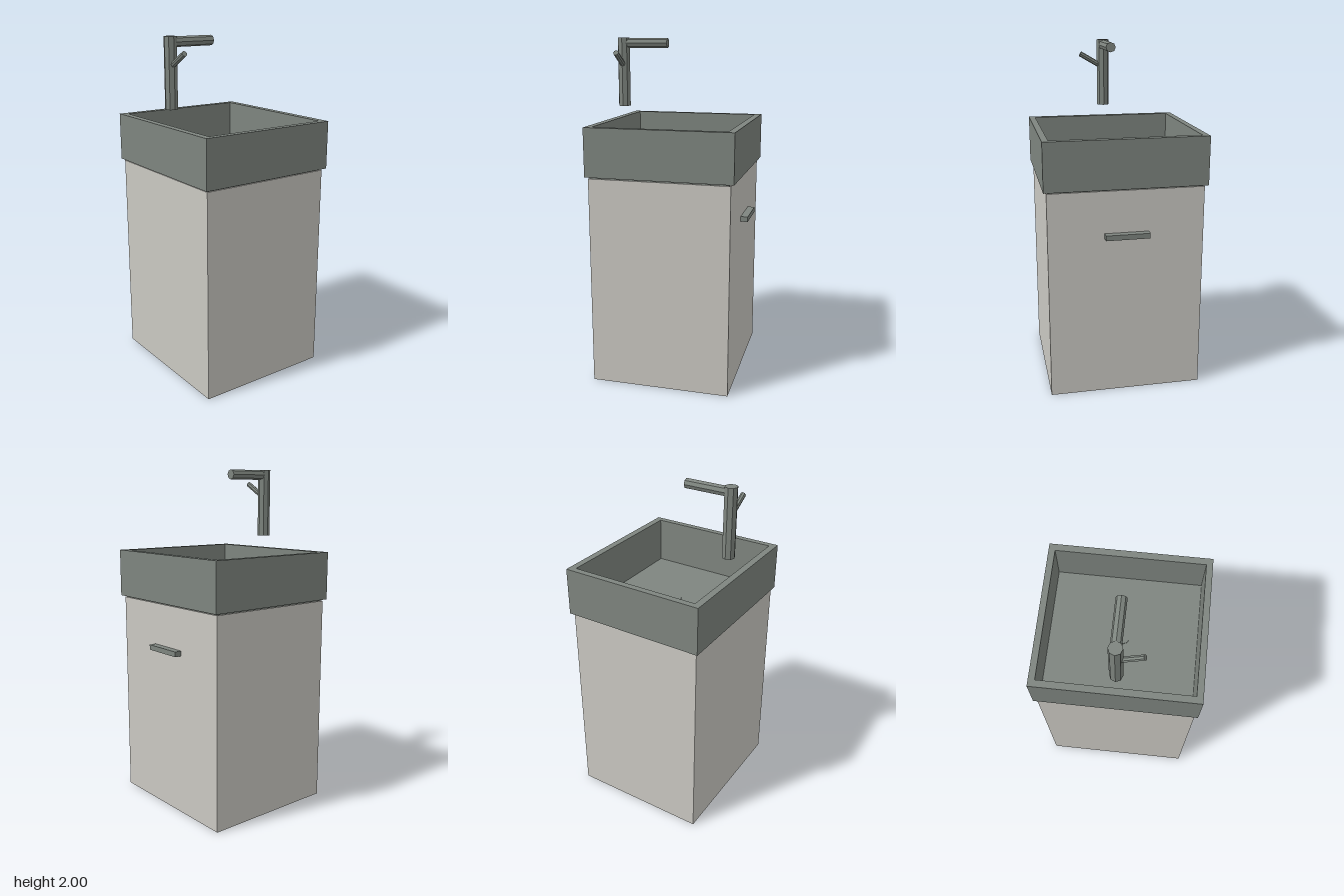
import * as THREE from 'three';

export function createModel() {
  const model = new THREE.Group();
  model.name = 'washstand';
  const cabinetPaint = new THREE.MeshStandardMaterial({ color: 0xcac8c2 });
  cabinetPaint.name = 'warmGrey';
  const stone = new THREE.MeshStandardMaterial({ color: 0x7e857f });
  stone.name = 'greenGrey';

  const add = (name, geometry, material) => {
    const mesh = new THREE.Mesh(geometry, material);
    mesh.name = name;
    model.add(mesh);
    return mesh;
  };
  // Box given by its limits on each axis
  const box = (name, material, [x0, x1], [y0, y1], [z0, z1]) =>
    add(name, new THREE.BoxGeometry(x1 - x0, y1 - y0, z1 - z0), material)
      .position.set((x0 + x1) / 2, (y0 + y1) / 2, (z0 + z1) / 2);
  // Faceted eight-sided rod between two points
  const rod = (name, radius, from, to) => {
    const a = new THREE.Vector3(...from), b = new THREE.Vector3(...to);
    const axis = b.clone().sub(a);
    const geometry = new THREE.CylinderGeometry(radius, radius, axis.length(), 8).toNonIndexed();
    geometry.computeVertexNormals();
    const mesh = add(name, geometry, stone);
    mesh.position.copy(a).add(b).multiplyScalar(0.5);
    mesh.quaternion.setFromUnitVectors(new THREE.Vector3(0, 1, 0), axis.normalize());
  };

  // Cabinet with a pull bar, and the recessed joint below the basin
  box('cabinet', cabinetPaint, [-0.448, 0.448], [0, 1.23], [-0.395, 0.42]);
  box('pullBar', stone, [-0.127, 0.127], [0.955, 0.985], [-0.437, -0.393]);
  box('basinJoint', stone, [-0.44, 0.44], [1.229, 1.241], [-0.387, 0.41]);

  // Basin: square rim wall with a sunken floor
  const rectangle = (Type, x, z0, z1) => {
    const path = new Type();
    path.moveTo(-x, -z1).lineTo(x, -z1).lineTo(x, -z0).lineTo(-x, -z0).closePath();
    return path;
  };
  const rim = rectangle(THREE.Shape, 0.465, -0.415, 0.435);
  rim.holes.push(rectangle(THREE.Path, 0.428, -0.375, 0.395));
  const walls = add('basinWalls',
    new THREE.ExtrudeGeometry(rim, { depth: 0.28, bevelEnabled: false }), stone);
  walls.rotation.x = -Math.PI / 2;
  walls.position.y = 1.24;
  box('basinFloor', stone, [-0.428, 0.428], [1.24, 1.25], [-0.375, 0.395]);
  rod('drain', 0.037, [0, 1.245, 0.008], [0, 1.254, 0.008]);

  // Tap with spout and slanted lever
  rod('tapColumn', 0.037, [0, 1.6, 0.35], [0, 2, 0.35]);
  rod('tapSpout', 0.029, [0, 1.969, 0.35], [0, 1.969, 0.078]);
  rod('tapLever', 0.016, [0, 1.833, 0.35], [0.142, 1.915, 0.35]);

  return model;
}
